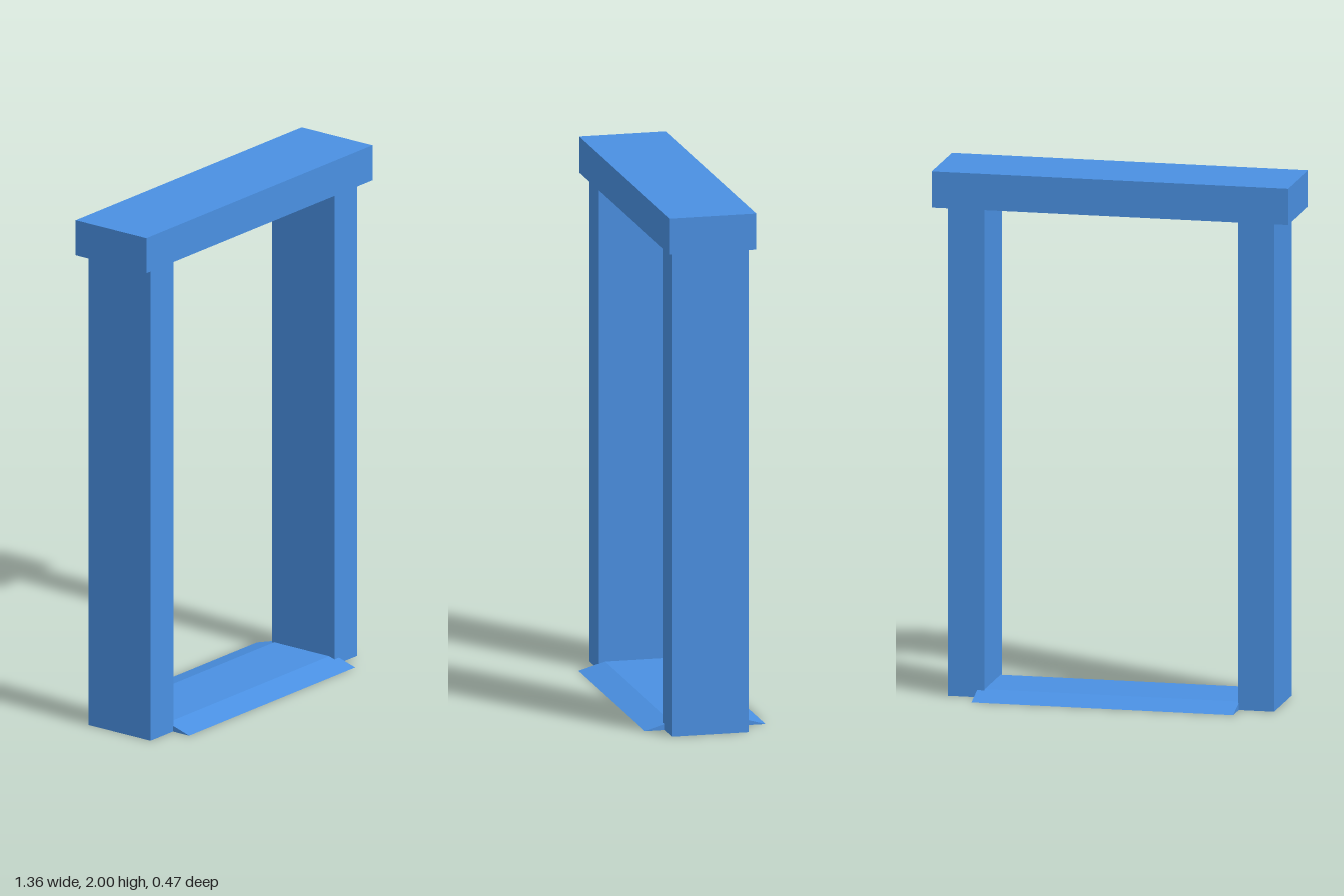
import * as THREE from 'three';

const blue = new THREE.MeshStandardMaterial({ color: 0x4a90e2, flatShading: true });

// Box given by its lower and upper corners
function block(name, [x0, y0, z0], [x1, y1, z1]) {
  const geometry = new THREE.BoxGeometry(x1 - x0, y1 - y0, z1 - z0);
  geometry.translate((x0 + x1) / 2, (y0 + y1) / 2, (z0 + z1) / 2);
  const mesh = new THREE.Mesh(geometry, blue);
  mesh.name = name;
  return mesh;
}

export function createModel() {
  const group = new THREE.Group();
  group.name = 'doorFrame';

  // Upright posts and the overhanging beam across them
  group.add(
    block('rightPost', [-0.625, 0, -0.14], [-0.487, 1.862, 0.155]),
    block('leftPost', [0.483, 0, -0.14], [0.621, 1.862, 0.155]),
    block('lintel', [-0.682, 1.862, -0.155], [0.68, 2, 0.18])
  );

  // Low threshold with a ramp on each side, profile drawn in (-z, y)
  const profile = new THREE.Shape([
    new THREE.Vector2(-0.232, 0),
    new THREE.Vector2(0.234, 0),
    new THREE.Vector2(0.13, 0.03),
    new THREE.Vector2(-0.13, 0.03),
  ]);
  const geometry = new THREE.ExtrudeGeometry(profile, { depth: 1, bevelEnabled: false });
  geometry.rotateY(Math.PI / 2).translate(-0.49, 0, 0);
  const threshold = new THREE.Mesh(geometry, blue);
  threshold.name = 'threshold';
  group.add(threshold);

  return group;
}
